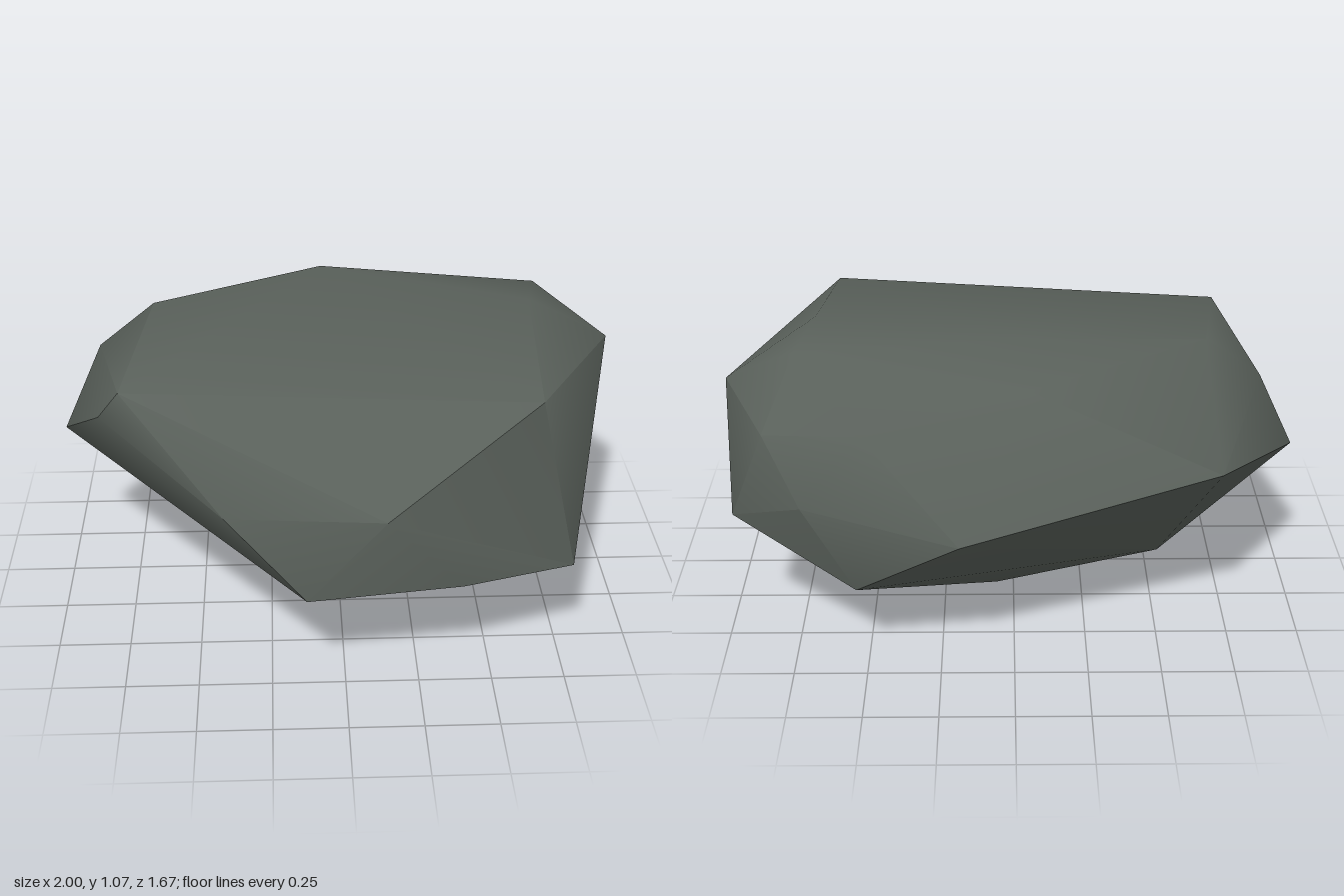
import * as THREE from 'three';
import { ConvexGeometry } from 'three/addons/geometries/ConvexGeometry.js';
import { toCreasedNormals } from 'three/addons/utils/BufferGeometryUtils.js';

// Corners of the boulder, grouped by height
const crown = [
  [-0.05, 1.07, -0.37], [0.69, 1.04, -0.1], [0.74, 1.01, -0.34], [-0.66, 1.0, -0.21],
  [-0.05, 0.97, -0.57], [0.66, 0.945, 0.53], [-0.75, 0.925, 0.37],
];
const shoulder = [
  [1.0, 0.85, -0.19], [0.83, 0.82, -0.58], [0.5, 0.85, -0.66], [-0.86, 0.85, -0.18],
  [-0.83, 0.8, 0.3], [-0.69, 0.68, -0.61], [0.13, 0.68, 0.835], [-0.4, 0.62, 0.69],
  [0.7, 0.62, -0.72],
];
const girdle = [
  [-1.0, 0.55, -0.11], [0.18, 0.54, -0.84], [0.96, 0.48, -0.5], [0.39, 0.385, 0.76],
  [0.78, 0.37, 0.62], [-0.13, 0.37, 0.81], [0.53, 0.3, -0.7],
];
const base = [[-0.53, 0.13, -0.15], [-0.17, 0.06, 0.28], [0.06, 0, -0.16]];

export function createModel() {
  const stone = new THREE.MeshStandardMaterial({ color: 0x59605a });
  stone.name = 'darkStone';

  // Convex faceted stone: gentle edges are smoothed, steep ones stay sharp
  const points = [...crown, ...shoulder, ...girdle, ...base].map((p) => new THREE.Vector3(...p));
  const geometry = toCreasedNormals(new ConvexGeometry(points), 0.75);

  const boulder = new THREE.Mesh(geometry, stone);
  boulder.name = 'boulder';

  const group = new THREE.Group();
  group.name = 'rock';
  group.add(boulder);
  return group;
}
